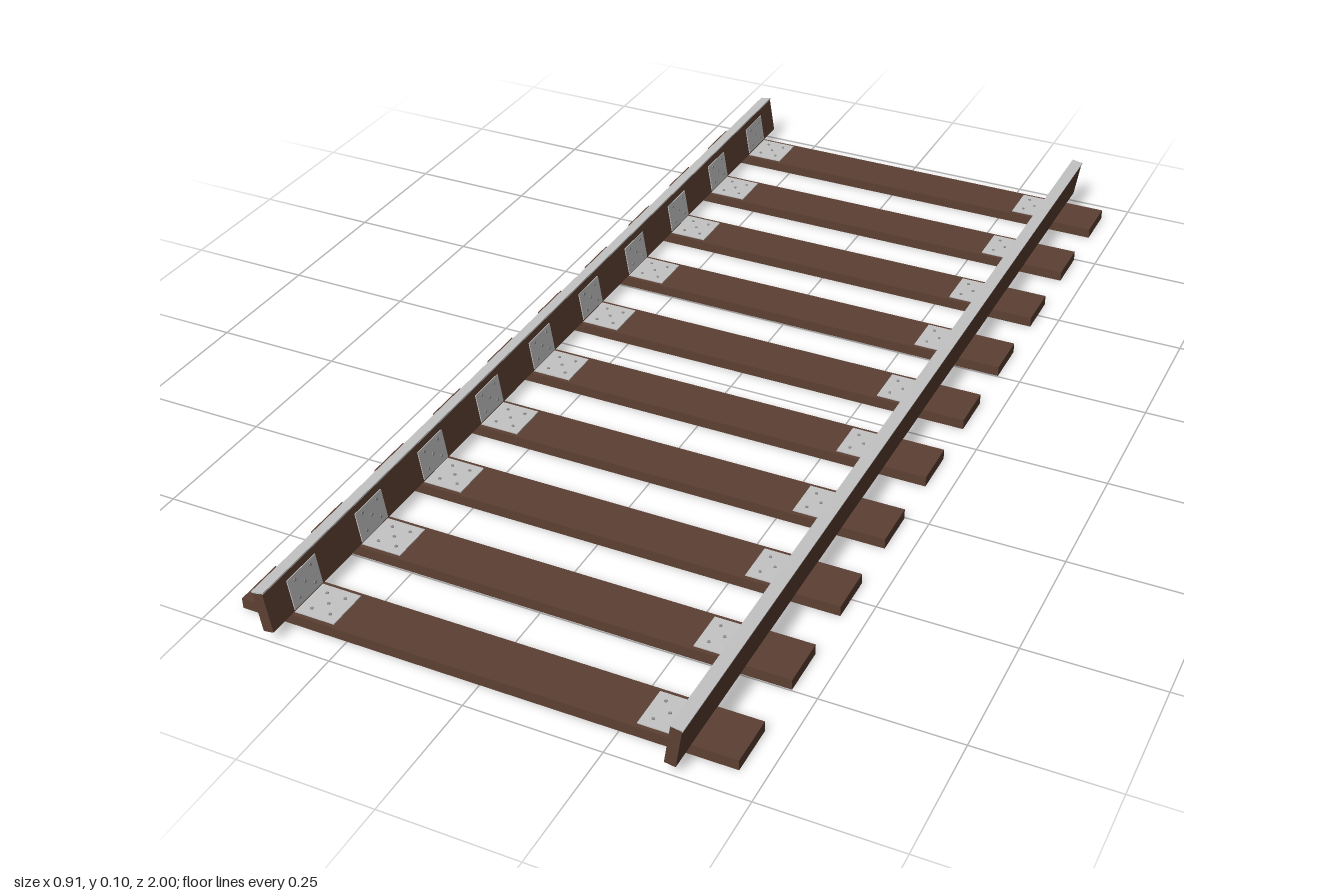
import * as THREE from 'three';

const wood = new THREE.MeshStandardMaterial({ name: 'brown wood', color: 0x5c4033 });
const steel = new THREE.MeshStandardMaterial({ name: 'light steel', color: 0xc4c4c4 });
const screwGrey = new THREE.MeshStandardMaterial({ name: 'screw grey', color: 0x909090 });

const LEAN = 0.155; // outward lean of the rails

function box(name, material, w, h, d, x, y, z, parent) {
  const mesh = new THREE.Mesh(new THREE.BoxGeometry(w, h, d), material);
  mesh.name = name;
  mesh.position.set(x, y, z);
  parent.add(mesh);
  return mesh;
}

export function createModel() {
  const model = new THREE.Group();
  model.name = 'railTrack';
  const screwGeometry = new THREE.CylinderGeometry(0.003, 0.003, 0.002, 8);

  function screw(x, y, z, parent) {
    const mesh = new THREE.Mesh(screwGeometry, screwGrey);
    mesh.name = 'screw';
    mesh.position.set(x, y, z);
    parent.add(mesh);
    return mesh;
  }

  // Cross ties
  const tieZ = Array.from({ length: 10 }, (_, i) => -0.9 + i * 0.2);
  tieZ.forEach((z) => box('tie', wood, 0.91, 0.02, 0.095, 0, 0.01, z, model));

  for (const s of [-1, 1]) {
    // Leaning rail with a steel running strip on top
    const rail = new THREE.Group();
    rail.name = s > 0 ? 'leftRail' : 'rightRail';
    rail.position.set(s * 0.37, 0.059, 0);
    rail.rotation.z = -s * LEAN;
    model.add(rail);
    box('railBeam', wood, 0.02, 0.077, 2, 0, -0.0005, 0, rail);
    box('railStrip', steel, 0.023, 0.003, 2, 0, 0.0385, 0, rail);

    // Angle bracket joining each tie to the inner face of the rail
    for (const z of tieZ) {
      box('bracketFoot', steel, 0.078, 0.002, 0.08, s * 0.317, 0.021, z, model);
      box('bracketUpright', steel, 0.002, 0.058, 0.08, -s * 0.0108, -0.007, z, rail);
      for (const [u, v] of [[-0.018, -0.022], [0.018, -0.022], [0, 0], [-0.018, 0.022], [0.018, 0.022]]) {
        screw(s * 0.315 + u, 0.0225, z + v, model);
        screw(-s * 0.0122, -0.005 + u, z + v, rail).rotation.z = Math.PI / 2;
      }
    }
  }
  return model;
}
